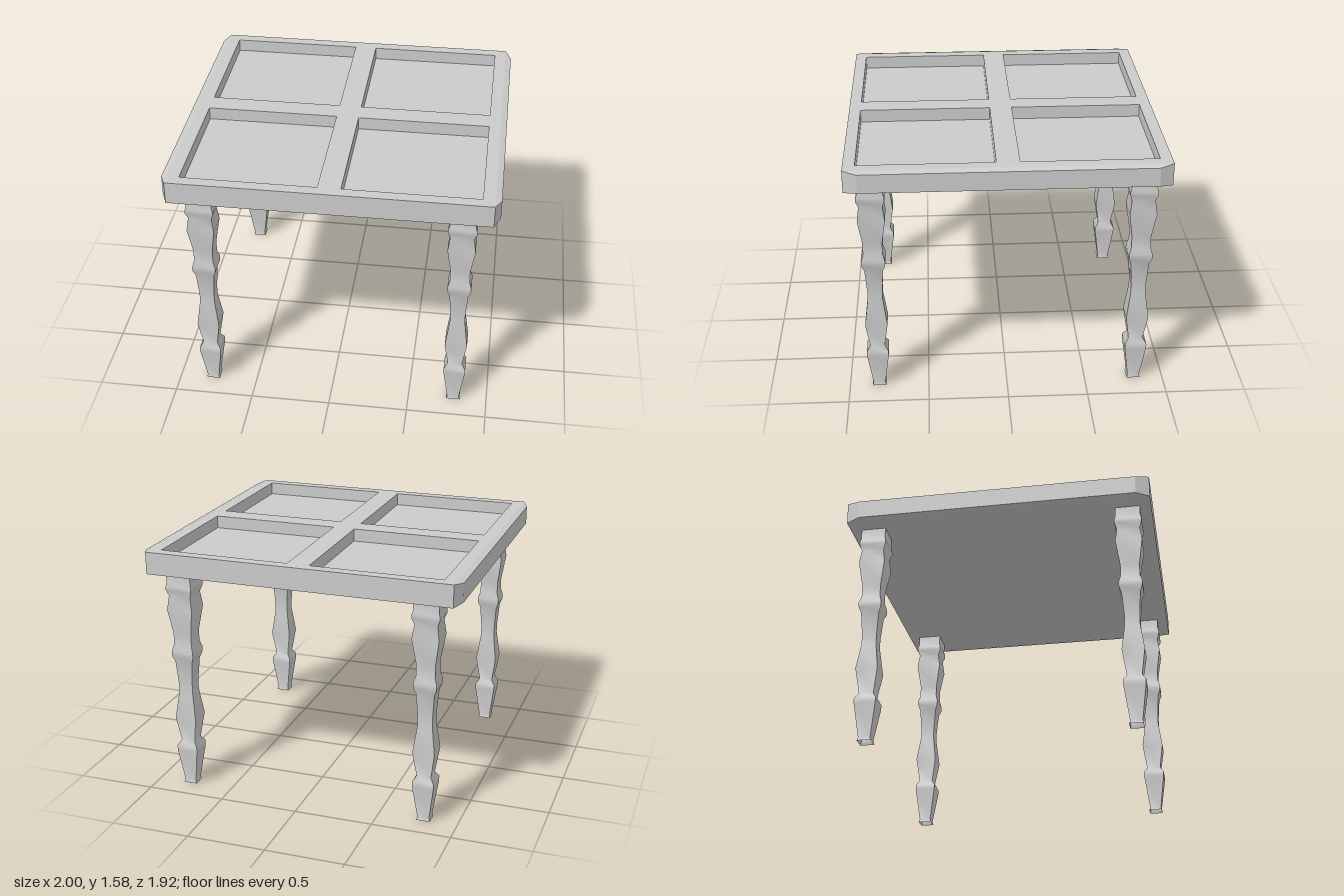
import * as THREE from 'three';
import { toCreasedNormals } from 'three/addons/utils/BufferGeometryUtils.js';

const grey = new THREE.MeshStandardMaterial({ color: 0xcccccc });
const greyOpen = new THREE.MeshStandardMaterial({ color: 0xcccccc, side: THREE.DoubleSide });

const BOTTOM = 1.44, TOP = 1.58, PANEL = 1.5; // tabletop underside, surface and recess floor
const HX = 0.963, HZ = 0.962;                 // half size of the full-height tabletop

const polygon = (pts) => pts.map(([x, y]) => new THREE.Vector2(x, y));

function add(parent, name, geometry, material = grey) {
  const mesh = new THREE.Mesh(geometry, material);
  mesh.name = name;
  parent.add(mesh);
  return mesh;
}

// Extrudes a plan outline upwards from y0 to y1
function extrudeUp(shape, y0, y1) {
  return new THREE.ExtrudeGeometry(shape, { depth: y1 - y0, bevelEnabled: false })
    .rotateX(-Math.PI / 2)
    .translate(0, y0, 0);
}

function createTabletop() {
  const top = new THREE.Group();
  top.name = 'tabletop';

  // Board that forms the floor of the recessed panels
  const board = new THREE.BoxGeometry(HX * 2, PANEL - BOTTOM, HZ * 2);
  add(top, 'baseBoard', board.translate(0, (PANEL + BOTTOM) / 2, 0));

  // Frame with four square openings
  const frame = new THREE.Shape(polygon([[-HX, -HZ], [HX, -HZ], [HX, HZ], [-HX, HZ]]));
  const a = 0.07, b = 0.89;
  for (const sx of [-1, 1]) for (const sz of [-1, 1]) {
    frame.holes.push(new THREE.Path(polygon(
      [[sx * a, sz * a], [sx * a, sz * b], [sx * b, sz * b], [sx * b, sz * a]])));
  }
  add(top, 'panelFrame', extrudeUp(frame, PANEL, TOP));

  // Side edges with cut corners, slightly thinner at the outside
  const edge = extrudeUp(
    new THREE.Shape(polygon([[HX, -HZ], [1, -0.877], [1, 0.877], [HX, HZ]])), BOTTOM, TOP);
  const pos = edge.attributes.position, mid = (BOTTOM + TOP) / 2;
  for (let i = 0; i < pos.count; i++) {
    if (pos.getX(i) > 0.99) pos.setY(i, mid + (pos.getY(i) - mid) * 0.84);
  }
  edge.computeVertexNormals();
  add(top, 'leftEdge', edge);
  add(top, 'rightEdge', edge).rotation.y = Math.PI;
  return top;
}

// Square leg with a turned-style outline: [half width, height]
function createLegGeometry() {
  const profile = [
    [0.043, 0], [0.037, 0.02], [0.067, 0.235], [0.068, 0.268], [0.045, 0.305],
    [0.069, 0.465], [0.046, 0.64], [0.046, 0.7], [0.057, 0.85], [0.072, 0.89],
    [0.072, 0.92], [0.059, 0.965], [0.059, 1.04], [0.083, 1.2], [0.071, 1.29],
    [0.085, 1.33], [0.085, 1.35], [0.078, 1.375], [0.078, BOTTOM],
  ];
  const lathe = new THREE.LatheGeometry(
    polygon(profile.map(([w, y]) => [w * Math.SQRT2, y])), 4, Math.PI / 4);
  return toCreasedNormals(lathe, 1.1);
}

export function createModel() {
  const table = new THREE.Group();
  table.name = 'table';
  table.add(createTabletop());

  const leg = createLegGeometry();
  for (const [sx, side] of [[1, 'Left'], [-1, 'Right']]) {
    for (const [sz, end] of [[1, 'front'], [-1, 'back']]) {
      add(table, end + side + 'Leg', leg, greyOpen).position.set(sx * 0.786, 0, sz * 0.814);
    }
  }
  return table;
}
